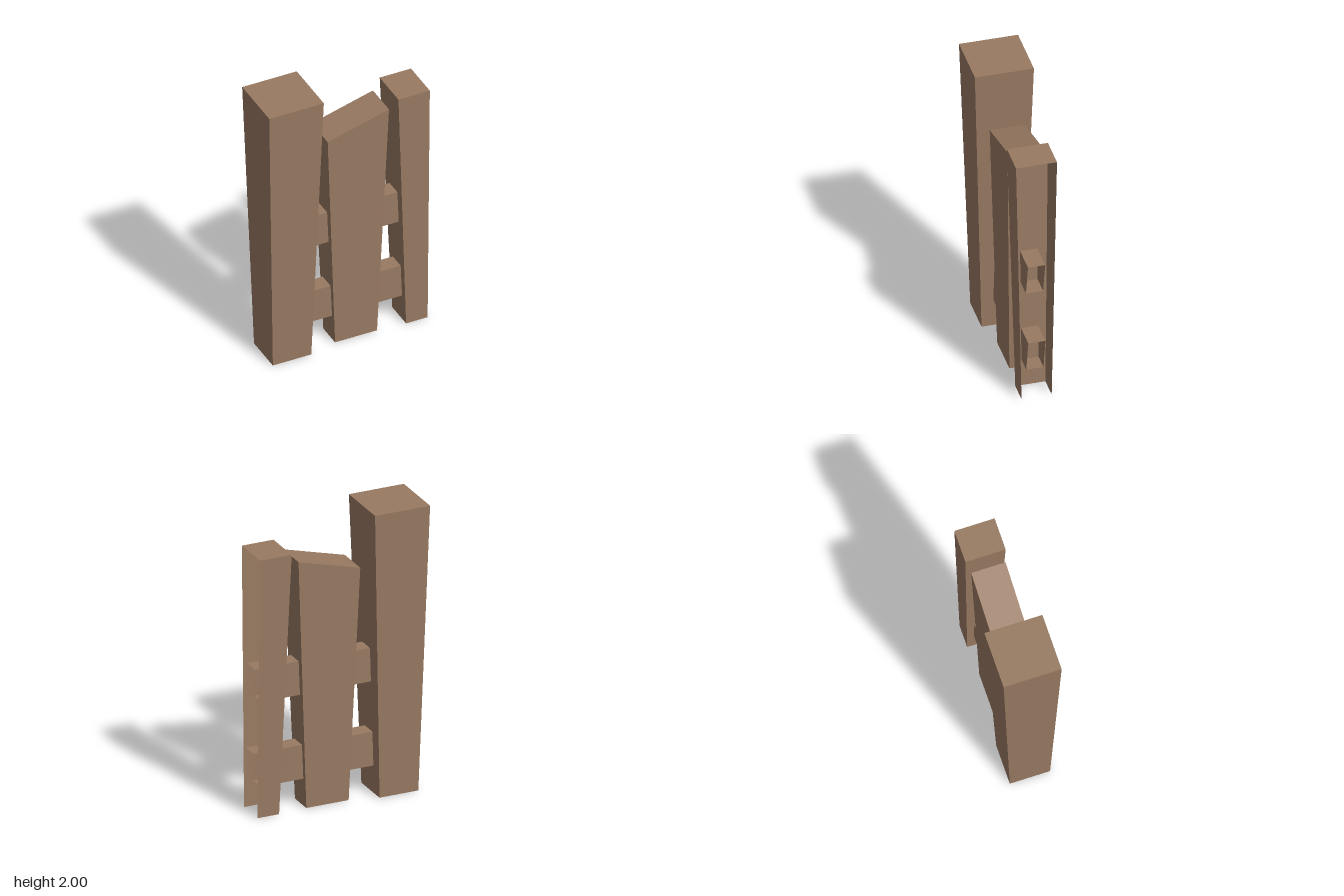
import * as THREE from 'three';

const wood = new THREE.MeshStandardMaterial({ color: 0x987a62, side: THREE.DoubleSide });
wood.name = 'weathered wood';

// Open-sided box: place(sx, sy, sz) gives each corner, open lists the missing
// sides (0 +x, 1 -x, 2 +y, 3 -y, 4 +z, 5 -z)
function hollowBox(name, open, place) {
  const box = new THREE.BoxGeometry(2, 2, 2);
  const pos = box.attributes.position;
  for (let i = 0; i < pos.count; i++) {
    pos.setXYZ(i, ...place(pos.getX(i), pos.getY(i), pos.getZ(i)));
  }
  const index = [...box.index.array];
  box.setIndex(index.filter((_, i) => !open.includes(Math.floor(i / 6))));
  box.clearGroups();
  const geometry = box.toNonIndexed();
  geometry.computeVertexNormals();
  const mesh = new THREE.Mesh(geometry, wood);
  mesh.name = name;
  return mesh;
}

// Post that widens upward; bottom and top are [left x, right x, half depth]
function post(name, bottom, top, yLeft, yRight, open) {
  return hollowBox(name, open, (sx, sy, sz) => {
    const [x0, x1, depth] = sy > 0 ? top : bottom;
    const y = sy > 0 ? (sx > 0 ? yRight : yLeft) : 0;
    return [sx > 0 ? x1 : x0, y, sz * depth];
  });
}

// Crossbar with open ends, the +x end cut at a slant
function rail(name, y0, y1, endX) {
  return hollowBox(name, [0, 1], (sx, sy, sz) => [
    sx < 0 ? -0.29 : sy > 0 ? endX : endX - 0.05,
    sy > 0 ? y1 : y0,
    sz * 0.057,
  ]);
}

export function createModel() {
  const group = new THREE.Group();
  group.name = 'fence';
  group.add(
    // Posts, open underneath; the last one is also open at its outer side
    post('tallPost', [-0.54, -0.265, 0.136], [-0.595, -0.205, 0.196], 2, 2, [3]),
    post('slantedPost', [-0.07, 0.23, 0.085], [-0.138, 0.3, 0.116], 1.62, 1.74, [3]),
    post('endPost', [0.43, 0.584, 0.1], [0.358, 0.582, 0.136], 1.81, 1.81, [0, 3]),
    // Crossbars
    rail('upperRail', 0.785, 1.02, 0.583),
    rail('lowerRail', 0.195, 0.433, 0.591),
  );
  return group;
}
